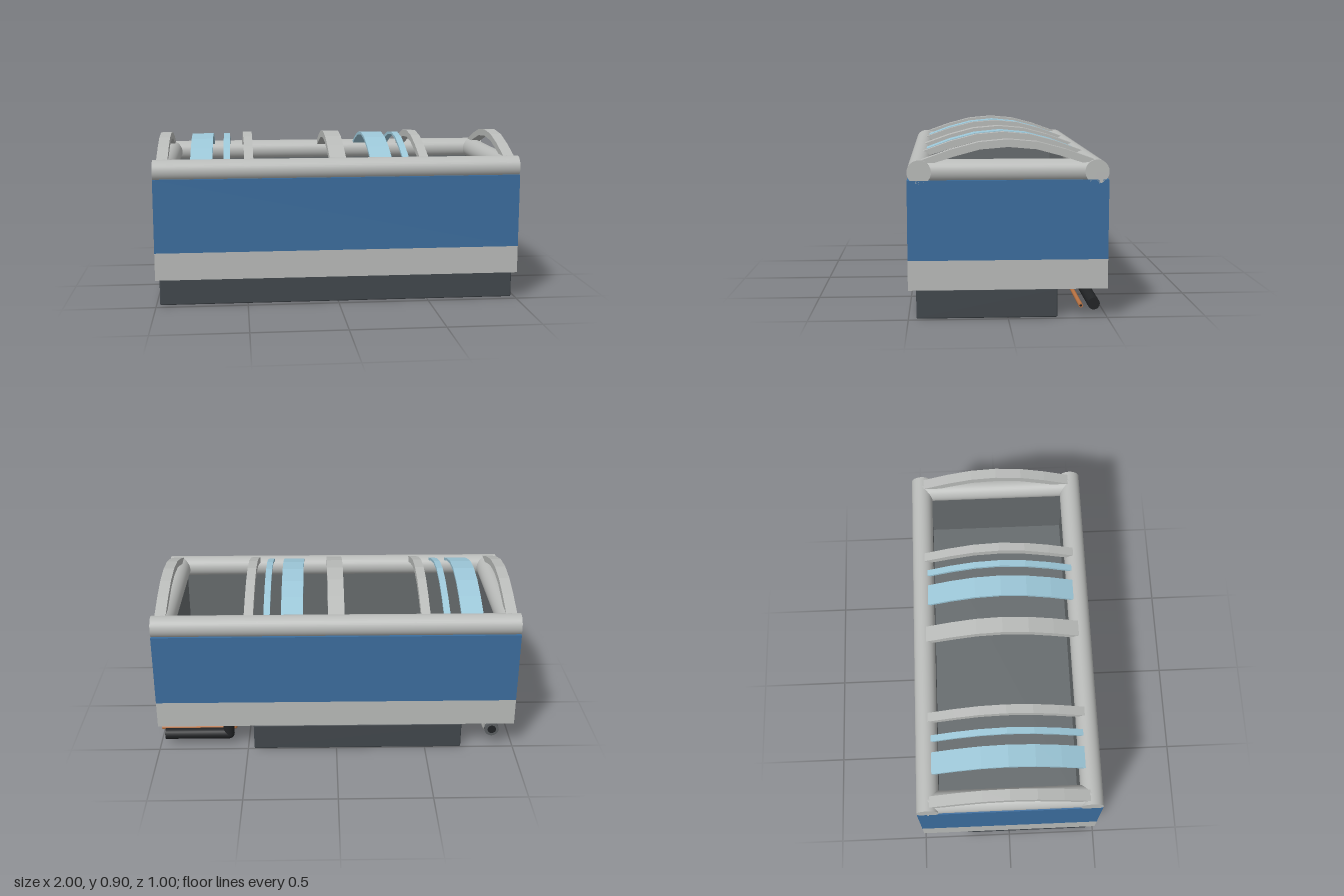
import * as THREE from 'three';
import { RoundedBoxGeometry } from 'three/addons/geometries/RoundedBoxGeometry.js';

const mat = (name, color) => Object.assign(new THREE.MeshStandardMaterial({ color }), { name });

export function createModel() {
  const root = new THREE.Group();
  root.name = 'chestFreezer';
  const blue = mat('blue panel', 0x3c6e9f);
  const grey = mat('light grey', 0xbabcba);
  const plinthMat = mat('plinth charcoal', 0x42484d);
  const linerMat = mat('liner grey', 0x676c6e);
  const glass = mat('pale blue glass', 0x9dc8d9);
  const copper = mat('copper', 0xb87242);
  const black = mat('black insulation', 0x222426);
  const collarMat = mat('collar grey', 0x5c6063);

  const add = (name, geometry, material, x = 0, y = 0, z = 0) => {
    const m = new THREE.Mesh(geometry, material);
    m.name = name;
    m.position.set(x, y, z);
    root.add(m);
    return m;
  };
  // Cylinder between two points
  const rod = (name, a, b, r, material, sides = 24) => {
    const p = new THREE.Vector3(...a), q = new THREE.Vector3(...b);
    const d = q.clone().sub(p);
    const m = add(name, new THREE.CylinderGeometry(r, r, d.length(), sides), material);
    m.position.copy(p).add(q).multiplyScalar(0.5);
    m.quaternion.setFromUnitVectors(new THREE.Vector3(0, 1, 0), d.normalize());
    return m;
  };
  // Upright rectangular frame with a rectangular opening
  const frame = (w, d, iw, id, h) => {
    const rect = (path, a, b) => path.moveTo(-a, -b).lineTo(a, -b).lineTo(a, b).lineTo(-a, b).closePath();
    const s = rect(new THREE.Shape(), w, d);
    s.holes.push(rect(new THREE.Path(), iw, id));
    return new THREE.ExtrudeGeometry(s, { depth: h, bevelEnabled: false }).rotateX(-Math.PI / 2);
  };

  // Cabinet
  add('baseBand', new THREE.BoxGeometry(2, 0.15, 1), grey, 0, 0.225, 0);
  add('outerPanels', frame(1, 0.5, 0.93, 0.43, 0.4), blue, 0, 0.3, 0);
  add('linerWalls', frame(0.93, 0.43, 0.9, 0.4, 0.4), linerMat, 0, 0.3, 0);
  add('linerFloor', new THREE.BoxGeometry(1.82, 0.008, 0.82), linerMat, 0, 0.304, 0);

  // Rounded rim rails
  for (const s of [-1, 1]) {
    rod('longRail', [-1, 0.74, s * 0.44], [1, 0.74, s * 0.44], 0.06, grey, 40);
    rod('endRail', [s * 0.94, 0.74, -0.44], [s * 0.94, 0.74, 0.44], 0.06, grey, 40);
  }

  // Arched strips over the opening, given as half profiles of [z, y]
  const arch = (name, x0, x1, top, bottom, material) => {
    const mirror = ([z, y]) => [-z, y];
    const outline = [
      ...top, ...top.slice(0, -1).reverse().map(mirror),
      ...bottom.map(mirror), ...bottom.slice(0, -1).reverse(),
    ].map(([z, y]) => new THREE.Vector2(z, y));
    const g = new THREE.ExtrudeGeometry(new THREE.Shape(outline), { depth: x1 - x0, bevelEnabled: false });
    g.translate(0, 0, -(x1 - x0) / 2).rotateY(-Math.PI / 2);
    add(name, g, material, (x0 + x1) / 2);
  };
  const ribTop = [[0.43, 0.798], [0.285, 0.85], [0.145, 0.887], [0, 0.9]];
  const ribBottom = [[0.42, 0.77], [0.36, 0.786], [0.27, 0.815], [0.14, 0.85], [0, 0.862]];
  for (const [a, b] of [[-0.98, -0.92], [-0.51, -0.46], [-0.045, 0.045], [0.45, 0.5], [0.92, 0.98]])
    arch('lidRib', a, b, ribTop, ribBottom, grey);
  const glassTop = [[0.42, 0.791], [0.285, 0.841], [0.145, 0.878], [0, 0.892]];
  const glassBottom = [[0.415, 0.776], [0.28, 0.826], [0.14, 0.863], [0, 0.877]];
  for (const [a, b] of [[-0.8, -0.68], [-0.62, -0.585], [0.18, 0.3], [0.36, 0.395]])
    arch('glassStrip', a, b, glassTop, glassBottom, glass);

  // Plinth plates
  const plate = (name, w, d, x, z) =>
    add(name, new RoundedBoxGeometry(w, 0.15, d, 2, 0.007), plinthMat, x, 0.075, z);
  plate('frontPlinth', 1.96, 0.02, 0, 0.45);
  plate('backPlinth', 1.17, 0.02, -0.12, -0.49);
  for (const s of [-1, 1]) plate('sidePlinth', 0.02, 0.71, s * 0.97, 0.105);

  // Drain trap under the right rear corner
  const tx = -0.88;
  const trap = new THREE.CatmullRomCurve3([
    [-0.285, 0.155], [-0.285, 0.07], [-0.295, 0.046], [-0.322, 0.034], [-0.349, 0.046],
    [-0.36, 0.07], [-0.375, 0.093], [-0.405, 0.103], [-0.47, 0.103],
  ].map(([z, y]) => new THREE.Vector3(tx, y, z)));
  add('drainTrap', new THREE.TubeGeometry(trap, 48, 0.028, 16), grey);
  rod('drainFlange', [tx, 0.142, -0.285], [tx, 0.15, -0.285], 0.036, grey);
  rod('drainNut', [tx, 0.105, -0.285], [tx, 0.13, -0.285], 0.036, collarMat);
  rod('outletCollar', [tx, 0.103, -0.465], [tx, 0.103, -0.485], 0.04, collarMat);
  rod('outletOpening', [tx, 0.103, -0.48], [tx, 0.103, -0.487], 0.024, black);

  // Refrigerant lines under the left rear corner
  const line = (name, x0, x1, y, z, r, material) => {
    rod(name, [x0, y, z], [x1, y, z], r, material, 16);
    rod(name + 'Riser', [x0, y, z], [x0, 0.152, z], r, material, 16);
    add(name + 'Elbow', new THREE.SphereGeometry(r, 16, 12), material, x0, y, z);
  };
  line('insulatedLine', 0.61, 0.97, 0.065, -0.435, 0.031, black);
  line('copperLine', 0.58, 1, 0.064, -0.365, 0.011, copper);
  rod('copperLineOpening', [0.99, 0.064, -0.365], [1.001, 0.064, -0.365], 0.006, black, 12);

  return root;
}
